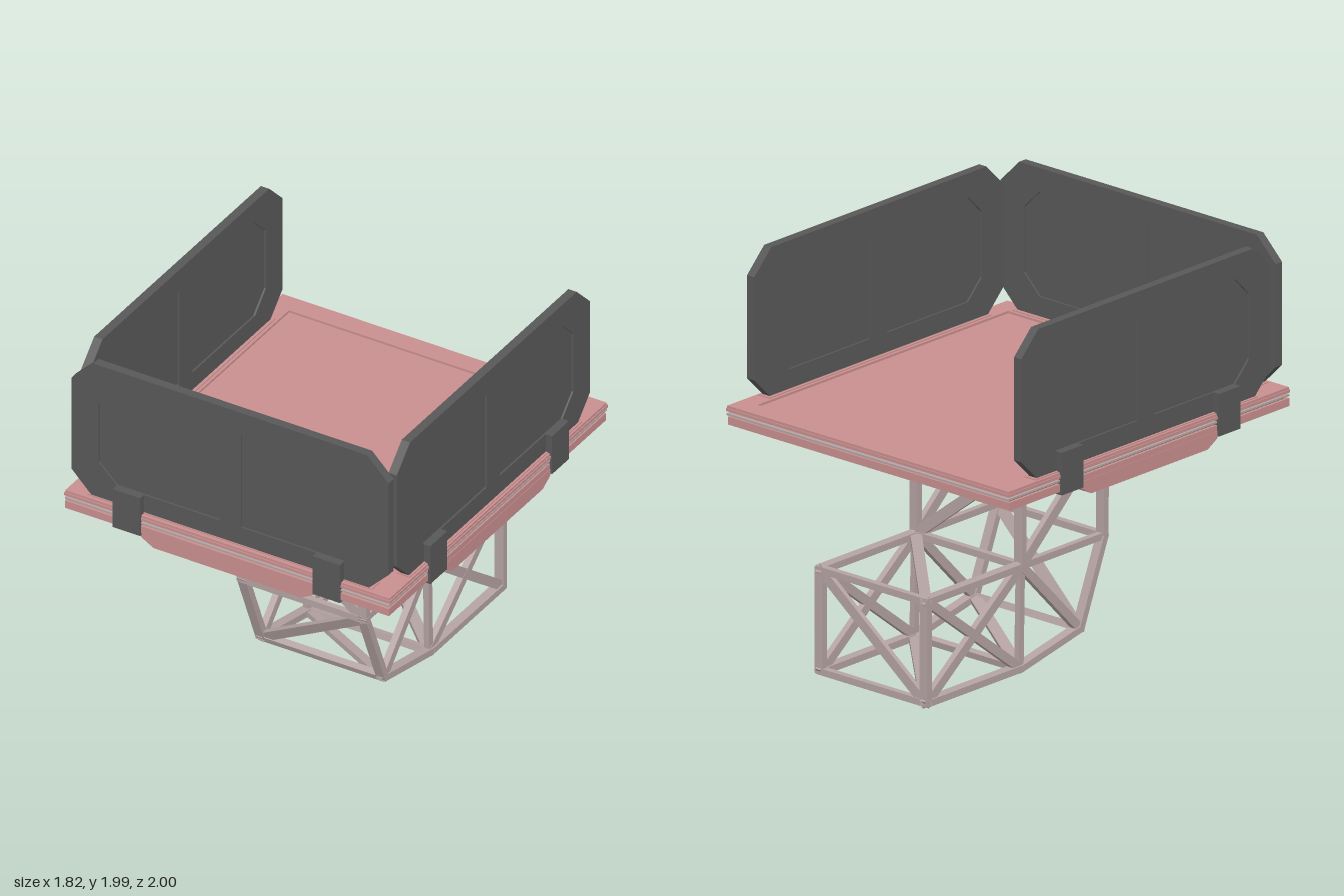
import * as THREE from 'three';

const mat = (color) => new THREE.MeshStandardMaterial({ color, flatShading: true });

export function createModel() {
  const root = new THREE.Group();
  const pink = mat(0xc98f8f), dark = mat(0x585858), steel = mat(0xb5a3a3);

  const add = (parent, name, geo, material) => {
    const m = new THREE.Mesh(geo, material);
    m.name = name;
    parent.add(m);
    return m;
  };
  // Box from its minimum and maximum corners
  const box = (parent, name, material, x0, x1, y0, y1, z0, z1) => {
    const m = add(parent, name, new THREE.BoxGeometry(x1 - x0, y1 - y0, z1 - z0), material);
    m.position.set((x0 + x1) / 2, (y0 + y1) / 2, (z0 + z1) / 2);
    return m;
  };
  const shapeOf = (pts) => new THREE.Shape(pts.map(([x, y]) => new THREE.Vector2(x, y)));
  const extrude = (shape, depth) => new THREE.ExtrudeGeometry(shape, { depth, bevelEnabled: false });

  // Platform: layered deck with a grooved edge and a sunken floor
  const platform = new THREE.Group();
  platform.name = 'platform';
  root.add(platform);
  box(platform, 'lowerDeck', pink, -0.9, 0.9, 1.13, 1.17, -0.99, 0.99);
  box(platform, 'deckCore', dark, -0.885, 0.885, 1.17, 1.2, -0.975, 0.975);
  box(platform, 'edgeRail', steel, -0.9, 0.9, 1.18, 1.19, -1, 0.99);
  box(platform, 'upperDeck', pink, -0.905, 0.905, 1.2, 1.215, -1, 0.99);
  const rim = shapeOf([[-0.9, -0.985], [0.9, -0.985], [0.9, 0.995], [-0.9, 0.995]]);
  rim.holes.push(shapeOf([[-0.8, -0.88], [-0.8, 0.89], [0.8, 0.89], [0.8, -0.88]]));
  const rimMesh = add(platform, 'deckRim', extrude(rim, 0.012), pink);
  rimMesh.rotation.x = -Math.PI / 2;
  rimMesh.position.y = 1.215;
  for (const s of [-1, 1]) {
    box(platform, 'sideSeat', pink, s * 0.852 - 0.037, s * 0.852 + 0.037, 1.22, 1.232, -0.79, 0.78);
  }
  box(platform, 'frontSeat', pink, -0.79, 0.79, 1.22, 1.232, 0.895, 0.965);
  box(platform, 'mountingBlock', pink, -0.48, 0.48, 1.07, 1.135, -0.48, 0.48);

  // One guard wall facing +z; its outer face lies at z = 0
  const makeWall = (name) => {
    const wall = new THREE.Group();
    wall.name = name;
    const frame = shapeOf([[-0.77, 1.23], [0.77, 1.23], [0.88, 1.34], [0.88, 1.86],
      [0.76, 1.98], [-0.76, 1.98], [-0.88, 1.86], [-0.88, 1.34]]);
    for (const s of [-1, 1]) {
      frame.holes.push(shapeOf([[0.06, 1.33], [0.63, 1.33], [0.73, 1.43], [0.73, 1.76], [0.63, 1.86], [0.06, 1.86]]
        .map(([x, y]) => [s * x, y])));
    }
    add(wall, 'wallFrame', extrude(frame, 0.046), dark).position.z = -0.046;
    box(wall, 'wallPanel', dark, -0.75, 0.75, 1.3, 1.88, -0.036, -0.01);
    // Clamps that hold the wall to the deck edge
    for (const s of [-1, 1]) {
      box(wall, 'clamp', dark, s * 0.555 - 0.077, s * 0.555 + 0.077, 1.12, 1.33, -0.005, 0.035);
      box(wall, 'clampHook', dark, s * 0.555 - 0.077, s * 0.555 + 0.077, 1.115, 1.135, -0.07, 0.035);
    }
    // Tapered skirt under the deck edge
    const skirt = shapeOf([[-0.41, 1.065], [0.41, 1.065], [0.48, 1.105], [0.48, 1.14], [-0.48, 1.14], [-0.48, 1.105]]);
    add(wall, 'skirt', extrude(skirt, 0.105), pink).position.z = -0.08;
    root.add(wall);
    return wall;
  };
  makeWall('frontWall').position.z = 0.96;
  for (const s of [-1, 1]) {
    const wall = makeWall(s > 0 ? 'leftWall' : 'rightWall');
    wall.rotation.y = s * Math.PI / 2;
    wall.position.x = s * 0.877;
  }

  // Truss: a stepped side outline (z, y) joined across the width
  const truss = new THREE.Group();
  truss.name = 'trussSupport';
  root.add(truss);
  const ring = [[0.293, 1.05], [-0.288, 1.05], [-0.288, 0.53], [-0.957, 0.53],
    [-0.957, 0.018], [-0.298, 0.018], [0.122, 0.107], [0.292, 0.53]];
  const halfWidth = 0.335;
  const node = (i, s) => new THREE.Vector3(s * halfWidth, ring[i][1], ring[i][0]);
  // Bar of given in-plane width; "normal" is the direction of its thickness
  const bar = (name, a, b, normal, width, thick) => {
    const m = add(truss, name, new THREE.BoxGeometry(width, thick, a.distanceTo(b) + 0.025), steel);
    m.position.copy(a).lerp(b, 0.5);
    m.up.copy(normal);
    m.lookAt(b);
    return m;
  };
  const xAxis = new THREE.Vector3(1, 0, 0);
  ring.forEach((_, i) => {
    const j = (i + 1) % ring.length;
    const along = node(j, 1).sub(node(i, 1)).normalize();
    const normal = new THREE.Vector3().crossVectors(along, xAxis);
    for (const s of [-1, 1]) bar('sideChord', node(i, s), node(j, s), xAxis, 0.034, 0.05);
    bar('crossBar', node(i, -1), node(i, 1), normal, 0.034, 0.034);
    const s = i === 7 || i === 3 || i === 2 ? 1 : -1;
    // Face diagonals; the top is covered by the deck
    if (i > 0) bar('faceDiagonal', node(i, s), node(j, -s), normal, 0.055, 0.024);
  });
  // Inner bars of both side frames
  const inner = [[0, 2, 0.055], [2, 7, 0.034], [2, 6, 0.045], [2, 5, 0.034], [2, 4, 0.05], [3, 5, 0.045]];
  for (const s of [-1, 1]) {
    inner.forEach(([i, j, w], k) => bar('sideBrace', node(i, s), node(j, s), xAxis, w, 0.03 + 0.002 * (k % 3)));
  }
  return root;
}
